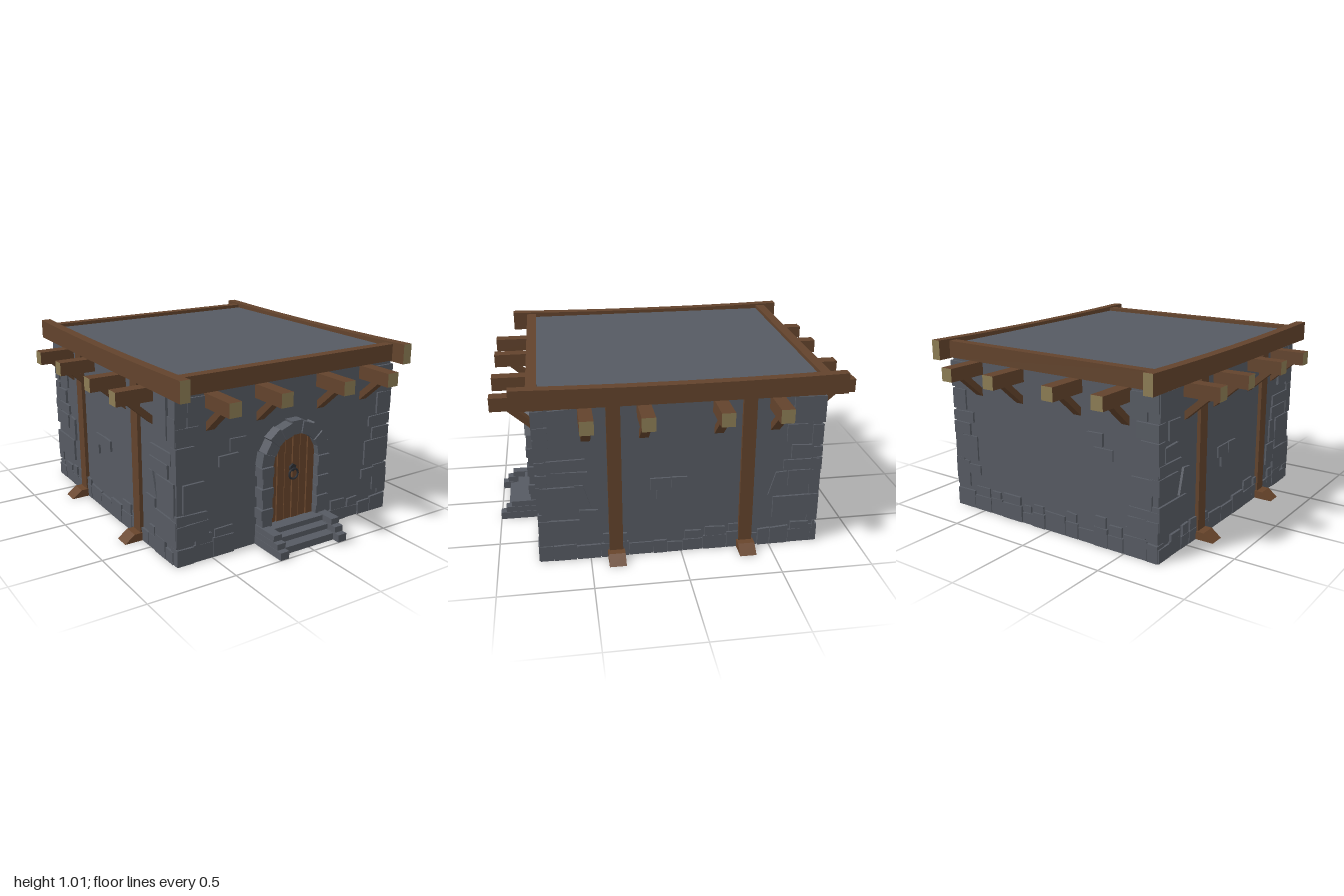
import * as THREE from 'three';

const mat = (name, color, side = THREE.FrontSide) =>
  Object.assign(new THREE.MeshStandardMaterial({ color, side }), { name });

export function createModel() {
  const stone = mat('stone', 0x565a62);
  const wall = mat('wall stone', 0x565a62, THREE.DoubleSide);
  const wood = mat('wood', 0x62432c);
  const doorWood = mat('door wood', 0x68452b);
  const endGrain = mat('end grain', 0x8c7c54);
  const iron = mat('iron', 0x2b2e34);
  const gapWood = mat('dark gap', 0x2c1f16);
  const ceilingRed = mat('ceiling red', 0x753327, THREE.DoubleSide);

  const root = new THREE.Group();
  root.name = 'stoneHut';
  let seed = 7;
  const rnd = () => (seed = (seed * 16807) % 2147483647) / 2147483647;

  const add = (parent, name, geo, material, x = 0, y = 0, z = 0) => {
    const m = new THREE.Mesh(geo, material);
    m.name = name;
    m.position.set(x, y, z);
    parent.add(m);
    return m;
  };
  // box from min / max limits
  const block = (parent, name, x0, x1, y0, y1, z0, z1, material) =>
    add(parent, name, new THREE.BoxGeometry(x1 - x0, y1 - y0, z1 - z0), material,
      (x0 + x1) / 2, (y0 + y1) / 2, (z0 + z1) / 2);

  const W = 0.703, D = 0.765, H = 0.9;

  // stone set through the wall, slightly proud of it; optional slanted top edge
  const brick = (face, d, u0, u1, y0, y1, slant = 0) => {
    const m = block(face, 'wallStone', u0, u1, y0, y1, d - 0.05, d + 0.009 + rnd() * 0.006, stone);
    const p = m.geometry.attributes.position;
    const a = (rnd() - 0.5) * 0.008, b = (rnd() - 0.5) * 0.008;
    for (let i = 0; i < p.count; i++) {
      const left = p.getX(i) < 0;
      if (p.getY(i) > 0) {
        p.setY(i, p.getY(i) + (left ? a : b));
        if (left ? slant > 0 : slant < 0) p.setX(i, p.getX(i) + slant);
      }
    }
    m.geometry.computeVertexNormals();
  };

  // corner stones: [start and end from the corner, bottom, top, slant]
  const cornerA = [[0, .07, .79, .885], [.07, .17, .74, .885], [0, .135, .65, .735], [0, .11, .45, .635],
    [.04, .165, .28, .44], [0, .18, .225, .275], [.07, .19, .12, .22], [0, .07, .11, .22]];
  const cornerB = [[0, .15, .73, .88], [0, .1, .6, .72], [0, .155, .53, .59], [0, .125, .45, .52],
    [0, .175, .3, .445], [.095, .19, .215, .27], [0, .1, .13, .285]];
  const cornerC = [[.08, .2, .66, .885], [0, .075, .64, .79], [.045, .26, .535, .6], [.08, .27, .455, .53],
    [.02, .2, .255, .445], [.2, .285, .31, .45, -.04], [0, .22, .1, .245], [.22, .32, .17, .3]];
  const cornerD = [[0, .17, .74, .885], [.09, .2, .63, .73], [.05, .17, .525, .605], [0, .21, .46, .515],
    [.19, .29, .31, .45, .04], [0, .18, .36, .45], [0, .26, .17, .3]];

  // one side of the building, drawn in local coordinates with +z outward
  function makeFace(name, angle, half, d, joistEnd, left, right, accents, isSide, doorGap) {
    const f = new THREE.Group();
    f.name = name;
    f.rotation.y = angle;
    root.add(f);
    add(f, 'wallPanel', new THREE.PlaneGeometry(half * 2, H), wall, 0, H / 2, d);
    const edge = half + 0.008;
    for (const [a, b, y0, y1, s] of left) brick(f, d, -edge + a, -edge + b, y0, y1, s);
    for (const [a, b, y0, y1, s] of right) brick(f, d, edge - b, edge - a, y0, y1, s);
    for (const a of accents) brick(f, d, ...a);

    // two uneven foundation courses
    for (let u = -edge; u < edge - 0.03;) {
      const w = Math.min(0.07 + rnd() * 0.09, edge - u), h = 0.06 + rnd() * 0.05;
      const clear = !doorGap || u > 0.22 || u + w < -0.22;
      if (clear) {
        brick(f, d, u, u + w - 0.004, 0, h);
        if (rnd() > 0.35) brick(f, d, u + 0.01, u + w - 0.012, h + 0.004, h + 0.04 + rnd() * 0.025);
      }
      u += w;
    }

    // joists with pale sawn ends, each on a diagonal brace
    const joistMats = [wood, wood, wood, wood, endGrain, wood];
    for (const u of [-0.505, -0.2, 0.2, 0.505]) {
      block(f, 'joist', u - 0.036, u + 0.036, 0.825, 0.9, d - 0.08, joistEnd, joistMats);
      const dz = 0.13, dy = 0.115;
      add(f, 'brace', new THREE.BoxGeometry(0.05, 0.035, Math.hypot(dz, dy) + 0.02), wood,
        u, 0.772, d + 0.055).rotation.x = -Math.atan2(dy, dz);
    }

    // upright posts with wedge feet
    if (isSide) for (const u of [-0.36, 0.36]) {
      block(f, 'post', u - 0.037, u + 0.037, 0, 0.9, d - 0.05, d + 0.021, wood);
      const s = new THREE.Shape([[d - 0.04, 0], [d + 0.118, 0], [d + 0.06, 0.045], [d - 0.04, 0.045]]
        .map(([x, y]) => new THREE.Vector2(x, y)));
      const g = new THREE.ExtrudeGeometry(s, { depth: 0.092, bevelEnabled: false });
      add(f, 'postFoot', g.rotateY(-Math.PI / 2), doorWood, u + 0.046, 0, 0);
    }
    return f;
  }

  const sideAccents = [[-.055, .17 - .14, .395, .46], [-.17, -.06, .395, .46], [-.137, -.131, .335, .39]];
  const front = makeFace('frontWall', 0, W, D, 0.99, cornerA, cornerB,
    [[-.39, -.29, .565, .635], [-.46, -.34, .495, .555]], false, true);
  makeFace('backWall', Math.PI, W, D, 1.0, cornerB, cornerA,
    [[.27, .37, .56, .63], [.31, .43, .49, .55]], false, false);
  makeFace('leftWall', Math.PI / 2, D, W, 0.91, cornerC, cornerD, sideAccents, true, false);
  makeFace('rightWall', -Math.PI / 2, D, W, 0.91, cornerD, cornerC, sideAccents, true, false);

  // roof slab, ceiling and the frame of beams around it
  block(root, 'roofSlab', -0.69, 0.69, 0.9, 0.98, -0.755, 0.745, stone);
  add(root, 'ceiling', new THREE.PlaneGeometry(W * 2, D * 2).rotateX(Math.PI / 2), ceilingRed, 0, 0.892, 0);
  for (const s of [-1, 1]) {
    const g = new THREE.BoxGeometry(0.056, 0.1, 1.76, 1, 1, 6);
    const p = g.attributes.position;
    for (let i = 0; i < p.count; i++) {
      if (p.getY(i) > 0) p.setY(i, p.getY(i) + 0.012 * (p.getZ(i) / 0.88) ** 2);
    }
    add(root, 'sideRoofBeam', g, [wood, wood, wood, wood, endGrain, endGrain], s * 0.713, 0.95, 0);
    const z = s > 0 ? 0.765 : -0.775;
    block(root, 'endRoofBeam', -0.69, 0.69, 0.905, 1.0, z - 0.028, z + 0.028, wood);
  }

  // door surround: jamb stones and a ring of arch stones
  const door = new THREE.Group();
  door.name = 'doorway';
  front.add(door);
  const springY = 0.455, rIn = 0.15, rOut = 0.222;
  for (const s of [-1, 1]) {
    for (let i = 0; i < 6; i++) {
      const y = 0.1 + i * 0.059, out = rOut + (i % 2 ? 0.004 : -0.008);
      const x0 = s > 0 ? rIn : -out, x1 = s > 0 ? out : -rIn;
      block(door, 'jambStone', x0, x1, y, y + 0.056, 0.7, 0.822 + (i % 2) * 0.008, stone);
    }
  }
  const voussoirs = 9;
  for (let i = 0; i < voussoirs; i++) {
    const a0 = (i / voussoirs) * Math.PI + 0.008, a1 = ((i + 1) / voussoirs) * Math.PI - 0.008;
    const r = rOut + (i % 2 ? -0.004 : 0.005);
    const s = new THREE.Shape([[rIn, a0], [r, a0], [r, a1], [rIn, a1]]
      .map(([q, a]) => new THREE.Vector2(q * Math.cos(a), q * Math.sin(a))));
    add(door, 'archStone', new THREE.ExtrudeGeometry(s, { depth: 0.125 + (i % 2) * 0.006, bevelEnabled: false }),
      stone, 0, springY, 0.7);
  }

  // door leaf: dark backing, planks cut to the arch
  const archStrip = (x0, x1, y0, r) => {
    const pts = [new THREE.Vector2(x0, y0), new THREE.Vector2(x1, y0)];
    for (let k = 0; k <= 8; k++) {
      const x = x1 + (x0 - x1) * (k / 8);
      pts.push(new THREE.Vector2(x, springY + Math.sqrt(Math.max(0, r * r - x * x))));
    }
    return new THREE.Shape(pts);
  };
  add(door, 'doorBacking', new THREE.ExtrudeGeometry(archStrip(-0.149, 0.149, 0.1, 0.15),
    { depth: 0.008, bevelEnabled: false }), gapWood, 0, 0, 0.768);
  for (let i = 0; i < 6; i++) {
    const x0 = -0.15 + i * 0.05;
    add(door, 'doorPlank', new THREE.ExtrudeGeometry(archStrip(x0 + 0.003, x0 + 0.047, 0.1, 0.15),
      { depth: 0.012 + (i % 2) * 0.003, bevelEnabled: false }), doorWood, 0, 0, 0.774);
  }
  add(door, 'handlePlate', new THREE.CylinderGeometry(0.022, 0.022, 0.012, 6).rotateX(Math.PI / 2), iron, 0, 0.405, 0.794);
  add(door, 'handleRing', new THREE.TorusGeometry(0.029, 0.006, 6, 16), iron, 0, 0.372, 0.803);

  // three entrance steps between stepped cheek stones
  const steps = [[0, 0.045, 0.955, 1.0], [0.045, 0.08, 0.905, 0.968], [0.08, 0.115, 0.86, 0.935]];
  for (const [y0, y1, z, cheekZ] of steps) {
    block(front, 'step', -0.17, 0.17, y0, y1 - 0.006, 0.74, z, stone);
    for (const s of [-1, 1]) {
      block(front, 'stepCheek', s * 0.195 - 0.027, s * 0.195 + 0.027, y0, y1 - 0.002, 0.74, cheekZ, stone);
    }
  }
  return root;
}
